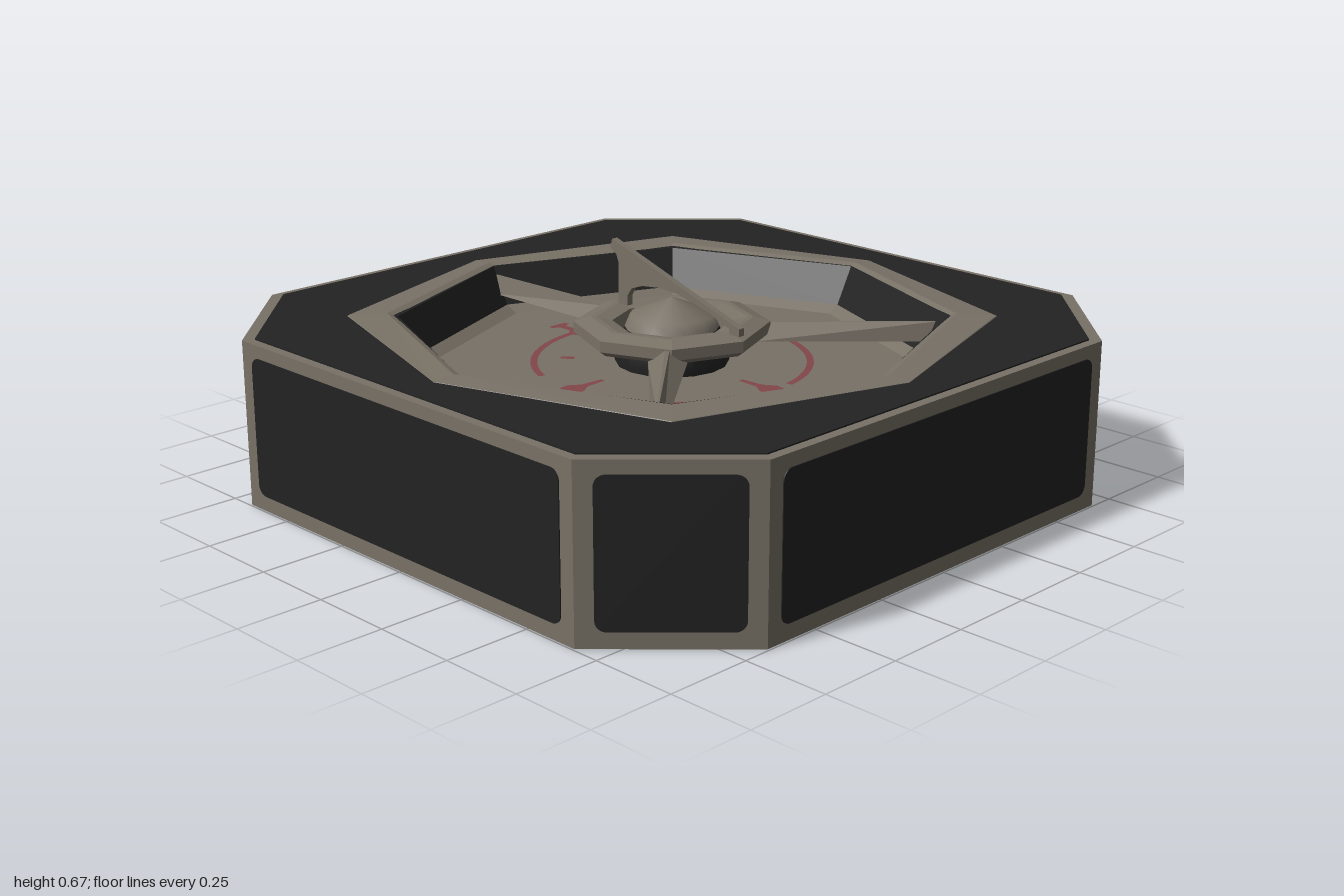
import * as THREE from 'three';

const mat = (name, color, side = THREE.FrontSide) => {
  const m = new THREE.MeshStandardMaterial({ color, side });
  m.name = name;
  return m;
};

const V = (x, y) => new THREE.Vector2(x, y);

const flat = (geo) => {
  const g = geo.index ? geo.toNonIndexed() : geo;
  g.computeVertexNormals();
  return g;
};

// Eight-sided turned part with flat faces; corners lie on the x and z axes
const octLathe = (points) => new THREE.LatheGeometry(points.map(([r, y]) => V(r, y)), 8);

// Square outline with cut corners
const cutSquare = (half, cut) => [
  V(half, -cut), V(half, cut), V(cut, half), V(-cut, half),
  V(-half, cut), V(-half, -cut), V(-cut, -half), V(cut, -half),
];

// Octagon whose diagonal corners may lie further out than the axis ones
const octagon = (axisR, diagR) => Array.from({ length: 8 }, (_, i) => {
  const a = i * Math.PI / 4, r = i % 2 ? diagR : axisR;
  return V(r * Math.cos(a), r * Math.sin(a));
});

// Horizontal slab from an outline, between two heights
const slab = (outline, y0, y1, hole) => {
  const shape = new THREE.Shape(outline);
  if (hole) shape.holes.push(new THREE.Path(hole));
  const g = new THREE.ExtrudeGeometry(shape, { depth: y1 - y0, bevelEnabled: false });
  return g.rotateX(-Math.PI / 2).translate(0, y0, 0);
};

const roundedRect = (w, h, r) => {
  const s = new THREE.Shape();
  s.absarc(w - r, h - r, r, 0, Math.PI / 2);
  s.absarc(-w + r, h - r, r, Math.PI / 2, Math.PI);
  s.absarc(-w + r, -h + r, r, Math.PI, Math.PI * 1.5);
  s.absarc(w - r, -h + r, r, Math.PI * 1.5, Math.PI * 2);
  return s;
};

export function createModel() {
  const root = new THREE.Group();
  root.name = 'sundial';
  const stone = mat('warm grey stone', 0x787166);
  const dark = mat('charcoal panel', 0x232323);
  const red = mat('faded red paint', 0x82464a, THREE.DoubleSide);
  const add = (name, geo, material, parent = root) => {
    const m = new THREE.Mesh(geo, material);
    m.name = name;
    parent.add(m);
    return m;
  };

  // Base block with an octagonal opening, plus dark top and bottom sheets
  const body = 0.997;
  add('baseBlock', slab(cutSquare(body, 0.67), 0.002, 0.484, octagon(0.78, 0.79)), stone);
  add('topSheet', slab(cutSquare(0.968, 0.65), 0.48, 0.488, octagon(0.865, 0.925)), dark);
  add('bottomSheet', slab(cutSquare(0.975, 0.66), 0, 0.006), dark);

  // Side panels: four long, four on the cut corners
  for (let i = 0; i < 8; i++) {
    const corner = i % 2 === 1;
    const dist = corner ? (body + 0.67) / Math.SQRT2 : body;
    const g = new THREE.ExtrudeGeometry(roundedRect(corner ? 0.183 : 0.625, 0.2, 0.03),
      { depth: 0.003, bevelEnabled: false, curveSegments: 4 });
    g.translate(0, 0.247, dist).rotateY(i * Math.PI / 4);
    add(corner ? 'cornerPanel' : 'sidePanel', g, dark);
  }

  // Raised rim, its diagonal corners pulled outwards
  const rim = octLathe([[0.87, 0.484], [0.865, 0.489], [0.8, 0.495], [0.78, 0.488]]);
  const p = rim.attributes.position;
  for (let i = 0; i < p.count; i++) {
    const x = p.getX(i), z = p.getZ(i);
    if (Math.abs(Math.abs(x) - Math.abs(z)) < 0.01) {
      const k = Math.hypot(x, z) > 0.82 ? 1.065 : 1.012;
      p.setXYZ(i, x * k, p.getY(i), z * k);
    }
  }
  add('basinRim', flat(rim), stone);

  // Sunken basin
  add('basinWall', flat(octLathe([[0.792, 0.489], [0.78, 0.486], [0.72, 0.375]])), dark);
  add('basinFloor', flat(octLathe([[0.72, 0.375], [0.68, 0.355], [0, 0.355]])), stone);

  // Painted ring and four pointers on the floor
  const paint = new THREE.Group();
  paint.name = 'floorMarking';
  paint.rotation.x = -Math.PI / 2;
  paint.position.y = 0.358;
  root.add(paint);
  const rad = THREE.MathUtils.degToRad;
  for (const [from, to] of [[20, 158], [187, 232], [238, 258], [280, 342]]) {
    add('paintedArc', new THREE.RingGeometry(0.385, 0.405, 24, 1, rad(from), rad(to - from)), red, paint);
  }
  const half = [[0.27, 0.008], [0.34, 0.012], [0.375, 0.035], [0.405, 0.03],
    [0.42, 0.012], [0.465, 0.012], [0.475, 0.034], [0.492, 0.03]];
  const pointer = new THREE.Shape([
    ...half.map(([r, w]) => V(r, -w)),
    ...half.slice().reverse().map(([r, w]) => V(r, w)),
  ]);
  for (let i = 0; i < 4; i++) {
    add('paintedPointer', new THREE.ShapeGeometry(pointer), red, paint).rotation.z = i * Math.PI / 2;
  }
  for (const a of [48, 132]) {
    add('paintedTick', new THREE.RingGeometry(0.28, 0.32, 2, 1, rad(a - 2), rad(4)), red, paint);
  }

  // Central ball, grey above and dark around its waist
  const ball = (pts) => new THREE.LatheGeometry(pts.map(([r, y]) => V(r, y)), 16);
  add('ballTop', ball([[0.135, 0.459], [0.12, 0.495], [0, 0.545]]), stone);
  add('ballWaist', ball([[0, 0.255], [0.12, 0.255], [0.17, 0.375], [0.135, 0.459]]), dark);

  // Suspended hub ring
  add('hubRing', flat(octLathe([[0.17, 0.425], [0.26, 0.425], [0.28, 0.44], [0.28, 0.472],
    [0.232, 0.486], [0.215, 0.486], [0.17, 0.475], [0.17, 0.425]])), stone);

  // Three ridged arms tapering from the hub to the basin wall
  const inner = 0.235, outer = 0.765;
  for (const [x, z] of [[0, -1], [0.56, 0.51], [-0.56, 0.51]]) {
    const g = new THREE.BoxGeometry(1, 1, 1);
    const a = g.attributes.position;
    for (let i = 0; i < a.count; i++) {
      const far = a.getZ(i) > 0, top = a.getY(i) > 0;
      const w = (far ? 0.03 : 0.11) * (top ? 0.12 : 1);
      a.setXYZ(i, a.getX(i) * w, top ? (far ? 0.462 : 0.468) : (far ? 0.405 : 0.425), far ? outer : inner);
    }
    add('supportArm', flat(g), stone).rotation.y = Math.atan2(x, z);
  }

  // Upright gnomon blade with an arched underside
  const blade = new THREE.Shape([[0.272, 0.485], [0.272, 0.507], [-0.235, 0.673], [-0.243, 0.648],
    [-0.218, 0.63], [-0.208, 0.605], [-0.21, 0.485], [-0.172, 0.485], [-0.172, 0.515],
    [-0.155, 0.54], [-0.11, 0.556], [-0.04, 0.564], [0.03, 0.56], [0.14, 0.535], [0.235, 0.5], [0.235, 0.485],
  ].map(([z, y]) => V(z, y)));
  const g = new THREE.ExtrudeGeometry(blade, { depth: 0.02, bevelEnabled: false });
  add('gnomon', g.translate(0, 0, -0.01).rotateY(-Math.PI / 2), stone);

  return root;
}
